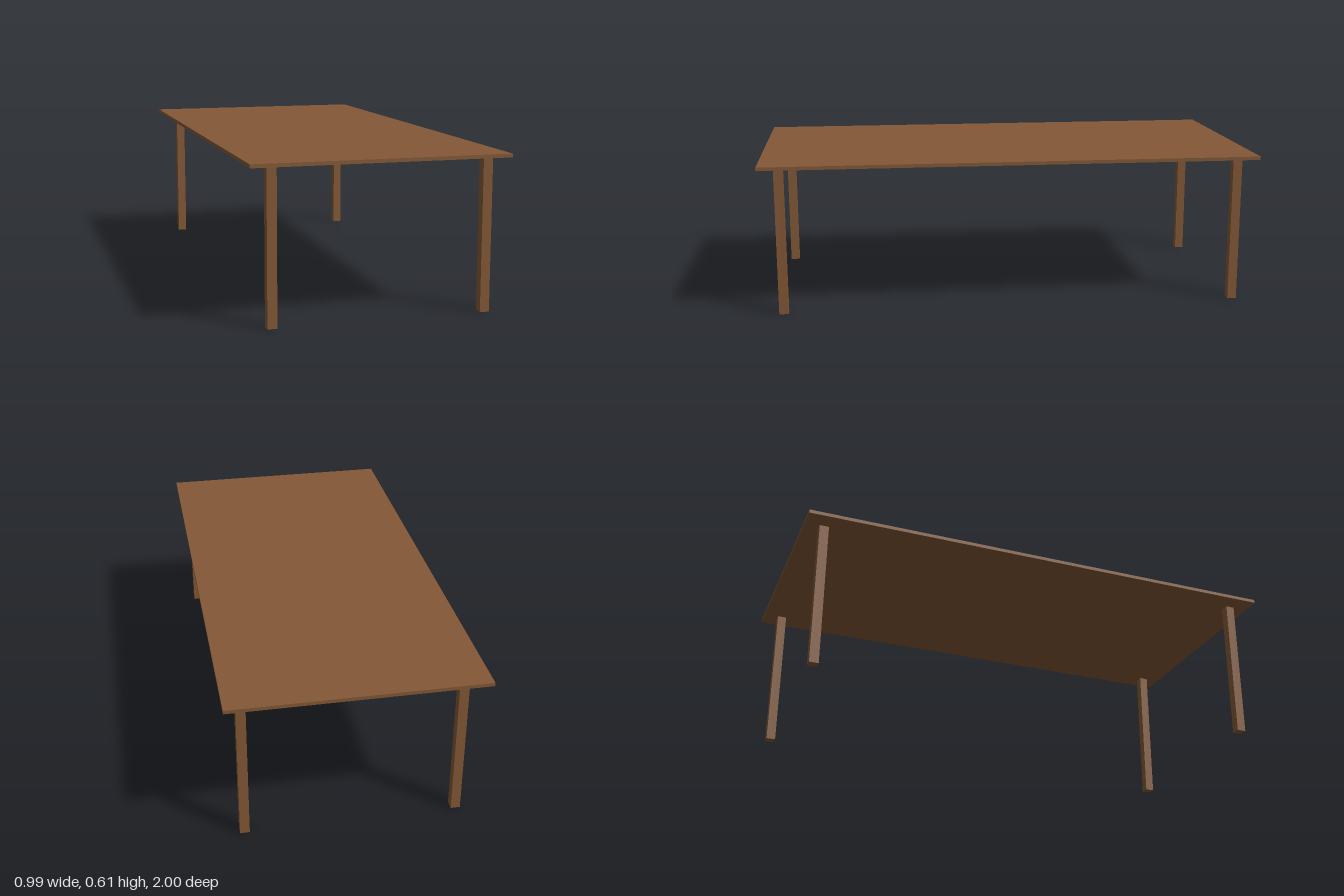
import * as THREE from 'three';

export function createModel() {
  const group = new THREE.Group();
  group.name = 'table';
  const wood = new THREE.MeshStandardMaterial({ color: 0x845937 });
  wood.name = 'brown wood';

  const addBox = (name, w, h, d, x, y, z) => {
    const mesh = new THREE.Mesh(new THREE.BoxGeometry(w, h, d), wood);
    mesh.name = name;
    mesh.position.set(x, y, z);
    group.add(mesh);
  };

  // Thin rectangular top
  const legHeight = 0.594, topThickness = 0.014;
  addBox('tableTop', 0.985, topThickness, 2, 0, legHeight + topThickness / 2, 0);

  // Four square legs, set slightly off-centre under the top
  const legWidth = 0.037;
  for (const [side, x] of [['Right', -0.4], ['Left', 0.425]]) {
    for (const [end, z] of [['front', 0.92], ['back', -0.923]]) {
      addBox(`${end}${side}Leg`, legWidth, legHeight, legWidth, x, legHeight / 2, z);
    }
  }
  return group;
}
